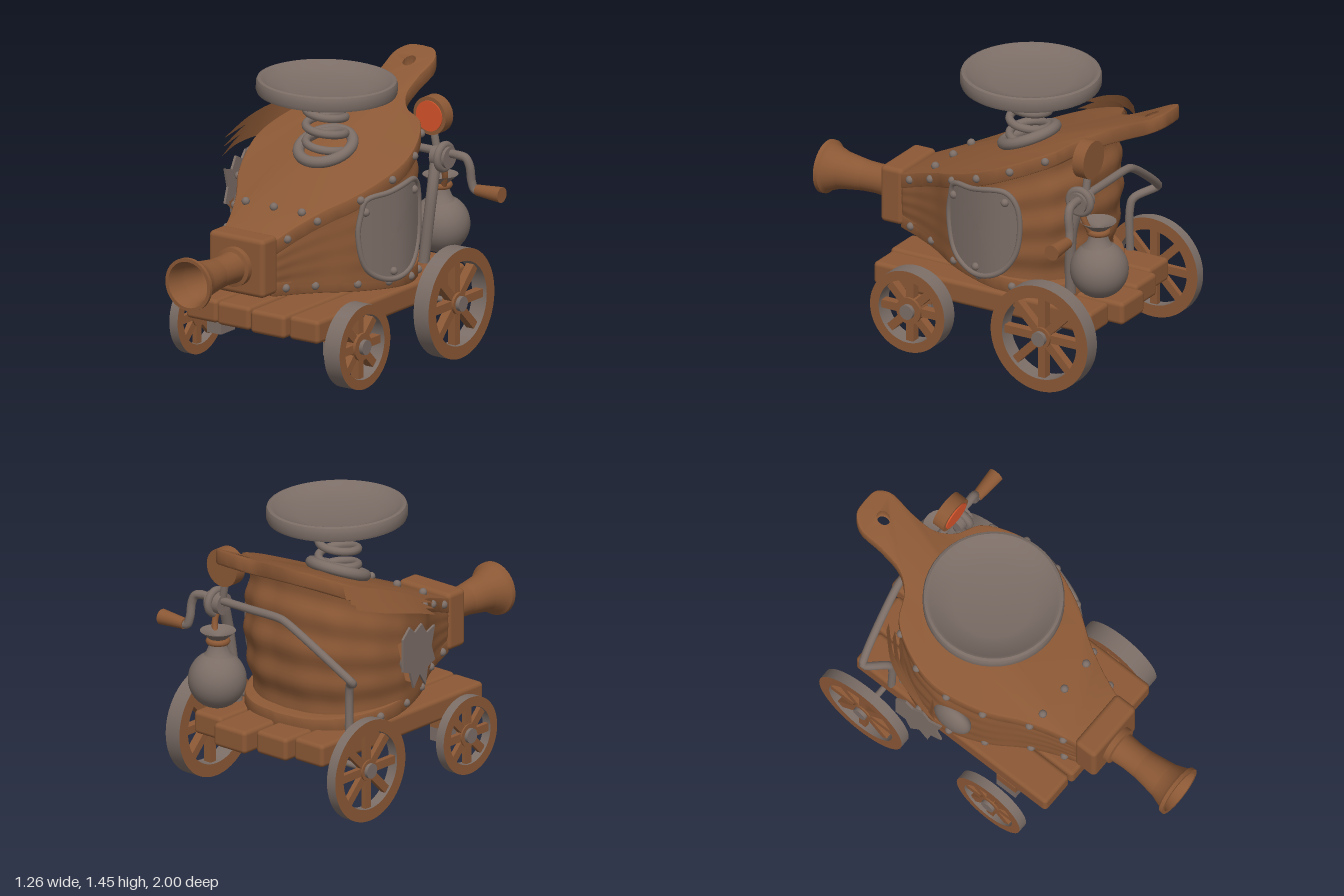
import * as THREE from 'three';
import { toCreasedNormals } from 'three/addons/utils/BufferGeometryUtils.js';
import { RoundedBoxGeometry } from 'three/addons/geometries/RoundedBoxGeometry.js';

const V = (x, y, z) => new THREE.Vector3(x, y, z);
const CX = -0.045; // centre line of the bellows
const topY = z => 0.99 - 0.405 * z + 0.05 * Math.max(0, -0.5 - z);
const botY = z => 0.475 + 0.1 * z;

export function createModel() {
  const group = new THREE.Group();
  const mat = (name, color) => {
    const m = new THREE.MeshStandardMaterial({ color, side: THREE.DoubleSide });
    m.name = name;
    return m;
  };
  const brown = mat('brown wood and leather', 0x8b5835);
  const grey = mat('grey metal', 0x7b6d66);
  const orange = mat('orange glass', 0xd4532b);

  const add = (name, geo, material, x = 0, y = 0, z = 0, parent = group) => {
    const m = new THREE.Mesh(geo, material);
    m.name = name;
    m.position.set(x, y, z);
    parent.add(m);
    return m;
  };
  const crease = g => toCreasedNormals(g, 0.6);
  const spline = (pts, closed = false) => new THREE.CatmullRomCurve3(pts.map(p => V(...p)), closed);
  const tube = (name, pts, r, material, n = 40, closed = false) =>
    add(name, new THREE.TubeGeometry(spline(pts, closed), n, r, 10, closed), material);
  const lathe = (pts, n = 40) => crease(new THREE.LatheGeometry(pts.map(p => new THREE.Vector2(...p)), n));

  // Skin joining rings of equal point count
  function loft(rings, closed) {
    const n = rings[0].length, idx = [];
    for (let i = 0; i < rings.length - 1; i++)
      for (let j = 0; j < (closed ? n : n - 1); j++) {
        const a = i * n + j, b = i * n + (j + 1) % n;
        idx.push(a, b, a + n, b, b + n, a + n);
      }
    const g = new THREE.BufferGeometry().setFromPoints(rings.flat());
    g.setIndex(idx);
    g.computeVertexNormals();
    return g;
  }

  // Half outline of the bellows as x, z
  const front = [[0.16, 0.48], [0.2, 0.36], [0.265, 0.22], [0.36, 0.07], [0.425, -0.1], [0.445, -0.23], [0.41, -0.38], [0.325, -0.52]];
  const halfCurve = tail => spline([...front, ...tail].map(([x, z]) => [x, 0, z])).getPoints(48);
  const mirror = half => [...half, ...half.slice(0, -1).reverse().map(p => V(-p.x, 0, p.z))];
  const half = halfCurve([[0.19, -0.605], [0, -0.635]]);
  const outline = mirror(half);
  const halfWidth = z => {
    const i = Math.max(1, half.findIndex(p => p.z <= z));
    const a = half[i - 1], b = half[i];
    return THREE.MathUtils.mapLinear(z, a.z, b.z, a.x, b.x);
  };

  // Boards, sheared to their slopes
  function board(name, loop, height, depth, hole) {
    const shape = new THREE.Shape(loop.map(p => new THREE.Vector2(p.x, p.z)));
    if (hole) shape.holes.push(hole);
    const g = new THREE.ExtrudeGeometry(shape,
      { depth, bevelSize: 0.01, bevelOffset: -0.01, bevelThickness: 0.01, bevelSegments: 2, curveSegments: 20 });
    g.rotateX(Math.PI / 2);
    const p = g.attributes.position;
    for (let i = 0; i < p.count; i++) p.setY(i, p.getY(i) + height(p.getZ(i)));
    g.computeVertexNormals();
    add(name, crease(g), brown, CX);
  }
  const handleHole = new THREE.Path().absellipse(0, -0.88, 0.042, 0.045, 0, Math.PI * 2, true);
  board('topBoardWithHandle', mirror(halfCurve([[0.2, -0.585], [0.135, -0.67], [0.12, -0.8], [0.122, -0.93], [0.075, -0.99], [0, -1]])),
    z => topY(z) - 0.01, 0.06, handleHole);
  board('bottomBoard', outline.map(p => V(p.x * 0.95, 0, p.z)), z => botY(z) + 0.05, 0.06);

  // Pleated leather between the boards
  const rings = [];
  for (let i = 0; i <= 32; i++) {
    const v = i / 32;
    rings.push(outline.map((p, j) => {
      const pleat = 0.006 * Math.sin(j * 0.9) * Math.sin(Math.PI * v);
      const s = 0.93 + 0.04 * Math.sin(Math.PI * v) + 0.02 * v + 0.008 * Math.cos(8 * Math.PI * v) + pleat;
      const z = 0.48 + (p.z - 0.48) * s;
      return V(CX + p.x * s, THREE.MathUtils.lerp(botY(z) + 0.03, topY(z) - 0.04, v), z);
    }));
  }
  add('bellowsLeather', loft(rings, true), brown);

  // Rivets along both boards
  const rivet = new THREE.SphereGeometry(0.021, 12, 8);
  for (const side of [-1, 1]) {
    for (const z of [0.41, 0.25, 0.05, -0.13, -0.32, -0.48]) {
      const w = halfWidth(z);
      add('topRivet', rivet, grey, CX + side * w, topY(z) - 0.035, z);
      add('bottomRivet', rivet, grey, CX + side * w * 0.95, botY(z) + 0.02, z);
    }
  }
  for (const x of [-0.17, 0, 0.17]) add('frontRivet', rivet, grey, CX + x, topY(0.27) + 0.01, 0.27);

  // Nozzle
  add('nozzleBlock', new RoundedBoxGeometry(0.335, 0.3, 0.13, 3, 0.025), brown, CX, 0.67, 0.53);
  const nozzle = lathe([[0.1, 0.57], [0.1, 0.625], [0.08, 0.63], [0.075, 0.7], [0.078, 0.8], [0.095, 0.9], [0.118, 0.965],
    [0.135, 0.98], [0.136, 1], [0.118, 1], [0.105, 0.96], [0.088, 0.85], [0.07, 0.72], [0.05, 0.66], [0, 0.63]]);
  add('nozzle', nozzle.rotateX(Math.PI / 2), brown, CX, 0.665);

  // Spring seat with a dished plate
  const ring = add('springBase', new THREE.TorusGeometry(0.138, 0.029, 12, 36), grey, CX, topY(-0.17) + 0.04, -0.17);
  ring.rotation.x = -Math.PI / 2 + 0.385;
  const coil = [];
  for (let i = 0; i <= 56; i++) {
    const a = i / 56 * Math.PI * 6.5;
    coil.push([CX + 0.098 * Math.cos(a), 1.09 + 0.27 * i / 56, -0.17 + 0.098 * Math.sin(a)]);
  }
  tube('spring', coil, 0.021, grey, 200);
  const dish = add('dishedPlate', lathe([[0, -0.04], [0.33, -0.04], [0.345, -0.035], [0.351, -0.02], [0.351, 0.02], [0.345, 0.035],
    [0.332, 0.04], [0.318, 0.035], [0.29, 0.01], [0.2, -0.01], [0, -0.02]], 48), grey, CX, 1.405, -0.18);
  dish.rotation.set(-0.015, 0, -0.02);

  // Shield patch wrapped on the right flank
  const shield = spline([[0, 0.93, 0.03], [0, 0.95, -0.1], [0, 0.975, -0.3], [0, 0.9, -0.36], [0, 0.66, -0.355], [0, 0.54, -0.27],
    [0, 0.5, -0.12], [0, 0.57, 0.02], [0, 0.75, 0.07], [0, 0.86, 0.055]], true).getPoints(60).slice(0, 60);
  const onFlank = p => V(CX + halfWidth(p.z) + 0.008, p.y, p.z);
  const centre = V(0, 0.74, -0.15);
  const patch = [1, 0.8, 0.6, 0.4, 0.2, 0].map(s => shield.map(p => onFlank(centre.clone().lerp(p, s))));
  add('sidePatch', loft(patch, true), grey);
  tube('sidePatchRim', patch[0].map(p => p.toArray()), 0.014, grey, 90, true);
  for (const [y, z] of [[0.87, 0.03], [0.92, -0.3], [0.54, -0.13]])
    add('sidePatchBolt', rivet, grey, CX + halfWidth(z) + 0.008, y, z);

  // Torn left flank: boss, jagged plate and curled strips
  add('leftBoss', new THREE.SphereGeometry(0.11, 24, 16).scale(0.5, 1, 1), grey, -0.465, 0.74, -0.1);
  const jag = new THREE.Shape([[-0.14, 0.12], [-0.08, 0.17], [-0.04, 0.13], [0.02, 0.16], [0.06, 0.1], [0.13, 0.12], [0.1, 0.02],
    [0.13, -0.06], [0.07, -0.08], [0.05, -0.17], [0, -0.1], [-0.05, -0.16], [-0.08, -0.07], [-0.14, -0.05]]
    .map(p => new THREE.Vector2(...p)));
  const torn = add('tornPlate', new THREE.ExtrudeGeometry(jag, { depth: 0.012, bevelEnabled: false }), grey, -0.595, 0.79, -0.2);
  torn.rotation.y = -Math.PI / 2 + 0.1;
  function strip(pts, width) {
    const c = spline(pts);
    const rows = c.getPoints(14).map((p, i) => {
      const w = width * Math.sin(Math.PI * (0.35 + 0.65 * i / 14)) + 0.001;
      return [V(p.x, p.y - w / 2, p.z), V(p.x + w * 0.3, p.y + w / 2, p.z)];
    });
    add('tornStrip', loft(rows, false), brown);
  }
  for (let i = 0; i < 3; i++) {
    const d = i * 0.04;
    strip([[-0.43, 1.17 - d, -0.55 + d], [-0.54, 1.15 - d, -0.43 + d], [-0.6, 1.11 - d, -0.28 + d], [-0.625 + d * 0.2, 1.05 - d, -0.12 + d * 0.5]], 0.07);
  }
  strip([[-0.53, 0.73, -0.22], [-0.565, 0.73, -0.18], [-0.595, 0.72, -0.1]], 0.19);

  // Plank deck
  [[-0.345, 0.19, 0.47, -0.74], [-0.145, 0.2, 0.48, -0.79], [0.077, 0.21, 0.5, -0.85], [0.282, 0.18, 0.48, -0.78]]
    .forEach(([x, w, z0, z1]) => add('plank', new RoundedBoxGeometry(w, 0.12, z0 - z1, 3, 0.022), brown, x, 0.36, (z0 + z1) / 2));

  // Wheels: rim, spokes and hub, turned to face sideways
  function wheel(x, y, z, r, inner, width, side, hubR) {
    const w = new THREE.Group();
    w.name = 'wheel';
    const s = new THREE.Shape().absarc(0, 0, r, 0, Math.PI * 2);
    s.holes.push(new THREE.Path().absarc(0, 0, inner, 0, Math.PI * 2, true));
    const rim = new THREE.ExtrudeGeometry(s, { depth: width, bevelEnabled: false, curveSegments: 48 });
    add('rim', crease(rim), [brown, grey], 0, 0, -width / 2, w);
    for (let i = 0; i < 8; i++) {
      const spoke = new THREE.BoxGeometry(0.042, inner + 0.01, width * 0.5).translate(0, inner / 2, 0);
      add('spoke', spoke, brown, 0, 0, 0, w).rotation.z = i * Math.PI / 4;
    }
    const disc = (rad, len) => new THREE.CylinderGeometry(rad, rad, len, 24).rotateX(Math.PI / 2);
    add('hub', disc(hubR, width * 0.8), brown, 0, 0, 0, w);
    add('hubCap', disc(0.038, width / 2 + 0.012), grey, 0, 0, width / 4 + 0.006, w);
    w.position.set(x, y, z);
    w.rotation.y = side * Math.PI / 2;
    group.add(w);
  }
  wheel(0.425, 0.245, 0.22, 0.215, 0.165, 0.095, 1, 0.07);
  wheel(0.455, 0.285, -0.56, 0.28, 0.215, 0.09, 1, 0.055);
  wheel(-0.55, 0.24, 0.215, 0.2, 0.15, 0.05, -1, 0.06);
  wheel(-0.58, 0.285, -0.57, 0.262, 0.2, 0.055, -1, 0.055);
  tube('rearAxle', [[-0.58, 0.285, -0.565], [0.45, 0.285, -0.565]], 0.016, grey, 2);
  for (const x of [-0.4, 0.303]) {
    add('axleBracket', new THREE.BoxGeometry(0.085, 0.07, 0.12), grey, x, 0.215, 0.22);
    add('bracketTop', new THREE.BoxGeometry(0.085, 0.07, 0.12), brown, x, 0.285, 0.22);
  }

  // Crank, pipework and gauge at the back
  tube('backPipe', [[0.4, 1, -0.69], [0.1, 1, -0.69], [-0.12, 1, -0.69], [-0.16, 0.99, -0.69], [-0.5, 0.77, -0.63],
    [-0.53, 0.74, -0.615], [-0.44, 0.69, -0.53], [-0.425, 0.64, -0.52], [-0.425, 0.4, -0.52]], 0.021, grey, 100);
  tube('crankArm', [[0.38, 1, -0.69], [0.43, 0.99, -0.695], [0.45, 0.95, -0.7], [0.455, 0.87, -0.71], [0.47, 0.83, -0.715], [0.52, 0.83, -0.715]], 0.022, grey);
  add('crankHandle', new THREE.CylinderGeometry(0.04, 0.028, 0.15, 20).rotateZ(-Math.PI / 2), brown, 0.56, 0.83, -0.715);
  add('crankHub', new THREE.CylinderGeometry(0.055, 0.055, 0.09, 24).rotateZ(Math.PI / 2), grey, 0.3, 0.98, -0.68);
  add('hubRing', new THREE.TorusGeometry(0.06, 0.02, 10, 28).rotateY(Math.PI / 2), grey, 0.31, 0.98, -0.68);
  tube('downPipe', [[0.27, 0.95, -0.66], [0.28, 0.82, -0.62], [0.27, 0.65, -0.6], [0.25, 0.45, -0.59]], 0.028, grey);
  tube('gaugeStem', [[0.27, 0.97, -0.685], [0.24, 1.12, -0.685]], 0.02, grey, 4);
  const drum = (r, h) => new THREE.CylinderGeometry(r, r, h, 36).rotateX(Math.PI / 2);
  add('gaugeBody', drum(0.098, 0.065), brown, 0.24, 1.185, -0.685);
  add('gaugeFace', drum(0.078, 0.008), orange, 0.24, 1.185, -0.65);

  // Hanging pouch
  add('pouch', new THREE.SphereGeometry(0.146, 32, 20), grey, 0.24, 0.61, -0.75);
  add('pouchNeck', lathe([[0.1, 0.71], [0.06, 0.75], [0.04, 0.8], [0.045, 0.825], [0.09, 0.865], [0.05, 0.85], [0, 0.83]], 28), grey, 0.24, 0, -0.745);
  add('pouchTie', new THREE.TorusGeometry(0.045, 0.017, 8, 24).rotateX(Math.PI / 2), brown, 0.24, 0.81, -0.745);
  tube('pouchStrap', [[0.28, 0.82, -0.72], [0.3, 0.88, -0.7], [0.3, 0.95, -0.68]], 0.016, brown, 10);
  return group;
}
